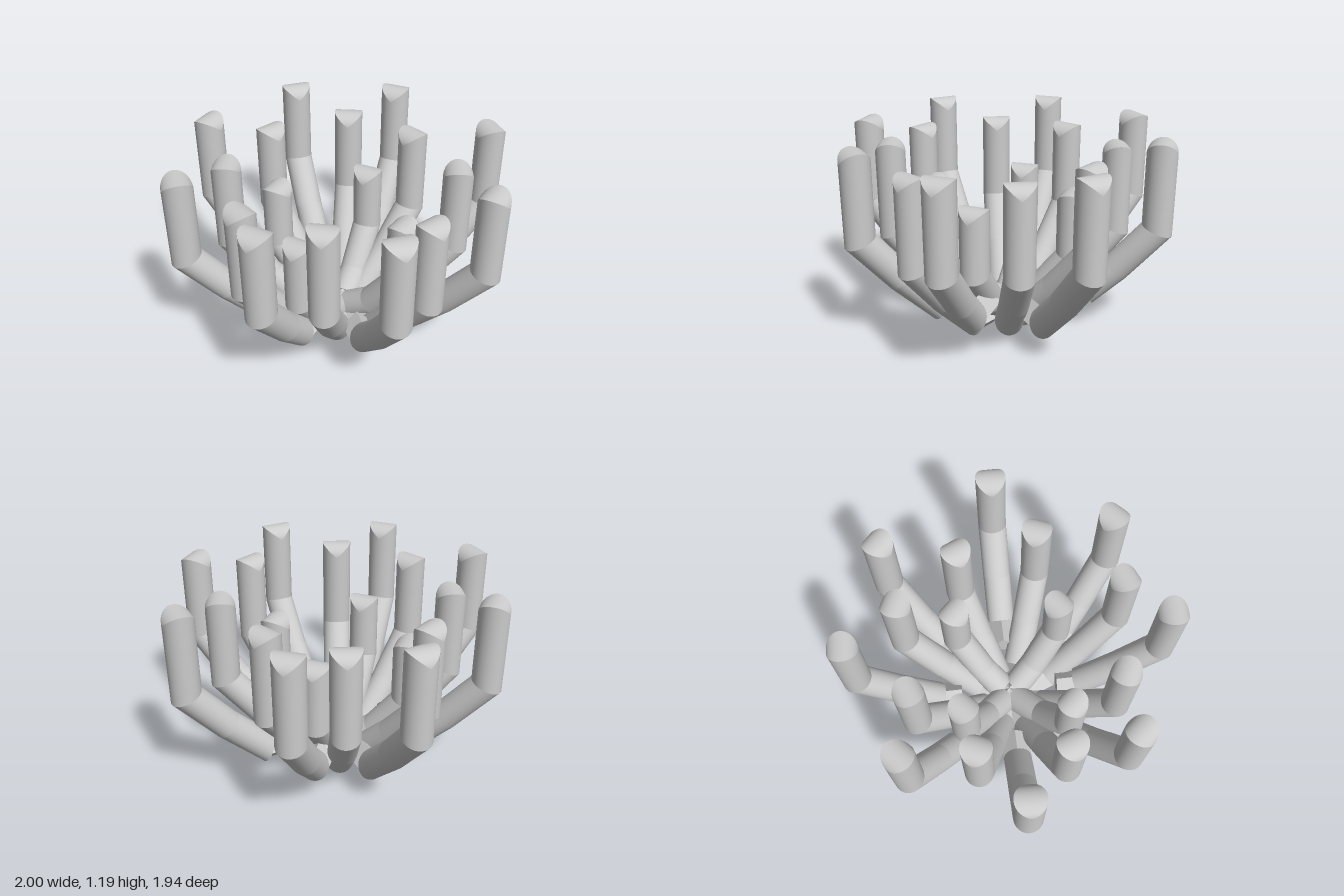
import * as THREE from 'three';
import { mergeGeometries } from 'three/addons/utils/BufferGeometryUtils.js';

const R = 0.086, DOME = 0.072, HUB_X = -0.01;
const grey = new THREE.MeshStandardMaterial({ color: 0xcccccc });
const facet = new THREE.MeshStandardMaterial({ color: 0xcccccc, flatShading: true });

function geometry(points, index) {
  const g = new THREE.BufferGeometry();
  g.setAttribute('position', new THREE.Float32BufferAttribute(points.flat(), 3));
  g.setIndex(index);
  g.computeVertexNormals();
  return g;
}

// Mitred cross-section at path point k; path points are [radius, height]
function ring(path, k, n, domed) {
  const dir = (a, b) => new THREE.Vector2(b[0] - a[0], b[1] - a[1]).normalize();
  const before = dir(path[Math.max(k - 1, 0)], path[Math.max(k, 1)]);
  const after = k < path.length - 1 ? dir(path[k], path[k + 1]) : before;
  const t = before.clone().add(after).normalize();
  const stretch = R / t.dot(before);
  return Array.from({ length: n }, (_, i) => {
    const a = -Math.PI / 2 + (2 * Math.PI * i) / n;
    const s = Math.sin(a) * stretch;
    const lift = domed ? DOME * (Math.abs(Math.cos(a)) - 1) : 0;
    return [Math.cos(a) * R, path[k][1] + t.x * s + lift, path[k][0] - t.y * s];
  });
}

// Wall between two rings
function wall(a, b) {
  const n = a.length, index = [];
  for (let i = 0; i < n; i++) {
    const j = (i + 1) % n;
    index.push(i, j, n + j, i, n + j, n + i);
  }
  return geometry([...a, ...b], index);
}

// Cap made of strips running straight across a ring
function cap(r, flip = false) {
  const n = r.length, index = [];
  for (let i = 0; i < n / 2; i++) {
    const l0 = (n - i) % n, l1 = n - i - 1;
    for (const [a, b, c] of [[i, i + 1, l1], [i, l1, l0]]) {
      if (a === b || b === c || a === c) continue;
      index.push(a, flip ? c : b, flip ? b : c);
    }
  }
  return geometry(r, index);
}

function makeArm(name, x, z, path) {
  const arm = new THREE.Group();
  arm.name = name;

  // Diamond-section foot
  const f0 = ring(path, 0, 4), f1 = ring(path, 1, 4);
  const foot = new THREE.Mesh(mergeGeometries([wall(f0, f1), cap(f0, true), cap(f1)]), facet);
  foot.name = 'foot';

  // Round bent stem with an arched tip
  const n = 32, last = path.length - 1, parts = [];
  for (let k = 1; k < last; k++) {
    parts.push(wall(ring(path, k, n), ring(path, k + 1, n, k + 1 === last)));
  }
  parts.push(cap(ring(path, 1, n), true), cap(ring(path, last, n, true)));
  const stem = new THREE.Mesh(mergeGeometries(parts), grey);
  stem.name = 'stem';

  arm.add(foot, stem);
  arm.position.x = HUB_X;
  arm.rotation.y = Math.atan2(x - HUB_X, z);
  return arm;
}

// Main path, shifted so that the tip lands on radius r
function mainPath(r, drop, top, footLift = 0) {
  const s = r - 0.915;
  return [
    [0.3 + Math.max(s, -0.25) * (drop ? 1 : 0), 0.186 - drop + footLift],
    [0.465 + s + footLift, 0.186 - drop + footLift],
    [0.695 + s, 0.415 - drop],
    [0.915 + s, 0.675 - drop],
    [0.915 + s, top],
  ];
}

export function createModel() {
  const model = new THREE.Group();
  model.name = 'branchingArms';
  const radius = (x, z) => Math.hypot(x - HUB_X, z);

  // Outer arms on the axes
  for (const [x, z] of [[0.914, 0], [-0.914, 0], [-0.01, 0.885], [-0.01, -0.885]]) {
    model.add(makeArm('outerArm', x, z, mainPath(radius(x, z), 0, 1.19)));
  }
  // Outer arms on the diagonals, with raised feet
  for (const [x, z] of [[0.6, 0.66], [0.58, -0.66], [-0.635, 0.6], [-0.62, -0.63]]) {
    model.add(makeArm('diagonalArm', x, z, mainPath(radius(x, z), 0, 1.19, 0.075)));
  }
  // Middle arms between them, set lower
  for (const [x, z, top] of [
    [0.255, 0.68, 1.1], [-0.295, 0.59, 1.13], [0.245, -0.6, 1.1], [-0.265, -0.565, 1.1],
    [0.61, 0.23, 1.1], [-0.64, 0.255, 1.1], [0.53, -0.24, 1.1], [-0.61, -0.24, 1.1],
  ]) {
    model.add(makeArm('middleArm', x, z, mainPath(radius(x, z), 0.1, top)));
  }
  // Short inner arms
  for (const [x, z] of [[0.25, 0.32], [0.265, -0.29], [-0.35, 0.315], [-0.31, -0.29]]) {
    const r = radius(x, z);
    model.add(makeArm('innerArm', x, z,
      [[-0.05, 0.11], [0.05, 0.11], [r - 0.19, 0.22], [r, 0.46], [r, 0.86]]));
  }
  return model;
}
